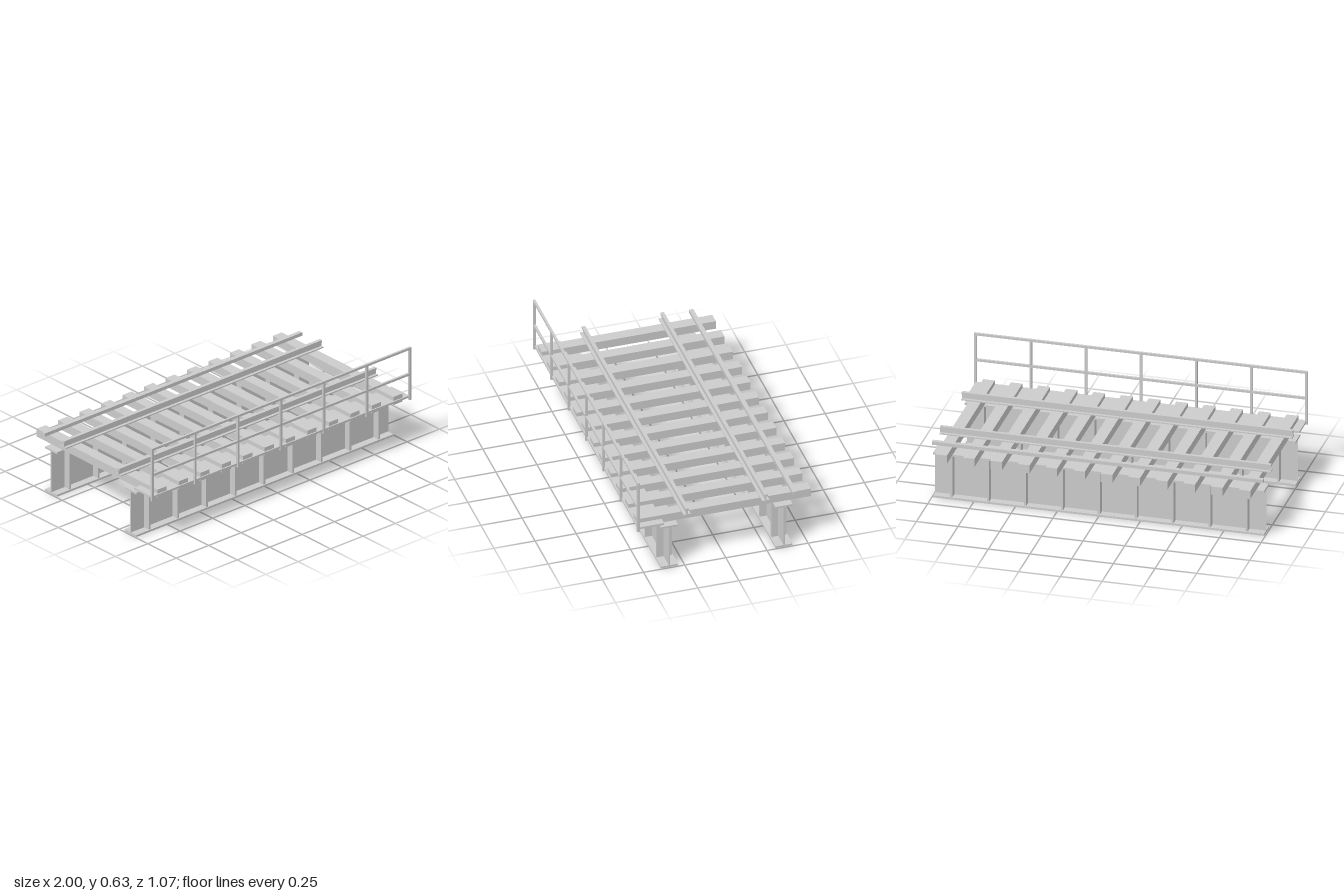
import * as THREE from 'three';

export function createModel() {
  const model = new THREE.Group();
  model.name = 'railwayBridgeSection';
  const steel = new THREE.MeshStandardMaterial({ color: 0xcccccc });
  steel.name = 'light grey';

  // Box given by its limits along each axis
  function box(parent, name, [x0, x1], [y0, y1], [z0, z1]) {
    const mesh = new THREE.Mesh(new THREE.BoxGeometry(x1 - x0, y1 - y0, z1 - z0), steel);
    mesh.position.set((x0 + x1) / 2, (y0 + y1) / 2, (z0 + z1) / 2);
    mesh.name = name;
    parent.add(mesh);
  }
  function group(name) {
    const g = new THREE.Group();
    g.name = name;
    model.add(g);
    return g;
  }
  const around = (c, half) => [c - half, c + half];
  const span = [-0.993, 0.993];

  // Two I-girders with web stiffeners on both sides
  for (const [name, z] of [['frontGirder', 0.34], ['backGirder', -0.356]]) {
    const girder = group(name);
    box(girder, 'bottomFlange', span, [0, 0.012], around(z, 0.052));
    box(girder, 'topFlange', span, [0.275, 0.287], around(z, 0.052));
    box(girder, 'web', span, [0.012, 0.275], around(z, 0.004));
    for (let i = 0; i < 9; i++) {
      const x = -0.885 + i * 0.2213;
      for (const side of [-1, 1]) {
        box(girder, 'stiffener', around(x, 0.0065), [0.012, 0.275], around(z + side * 0.025, 0.021));
      }
    }
  }

  // Cross ties
  const ties = group('ties');
  for (let i = 0; i < 12; i++) {
    box(ties, 'tie', around(-0.91 + i * 0.1655, 0.035), [0.287, 0.339], [-0.535, 0.522]);
  }

  // Running rails: foot, web and head
  for (const [name, z] of [['frontRail', 0.232], ['backRail', -0.246]]) {
    const rail = group(name);
    box(rail, 'railFoot', span, [0.339, 0.346], around(z, 0.0215));
    box(rail, 'railWeb', span, [0.346, 0.373], around(z, 0.004));
    box(rail, 'railHead', span, [0.372, 0.385], around(z, 0.0105));
  }

  // Guard beam behind the back rail
  box(model, 'guardBeam', span, [0.349, 0.37], [-0.435, -0.409]);

  // Walkway plate set between the ties
  box(model, 'walkway', span, [0.301, 0.313], [0.373, 0.53]);

  // Handrail along the front
  const handrail = group('handrail');
  for (let i = 0; i < 7; i++) {
    box(handrail, 'post', around(-0.993 + i * 0.331, 0.007), [0.287, 0.62], [0.523, 0.537]);
  }
  for (const y of [0.619, 0.454]) {
    box(handrail, 'handrailBar', [-1, 1], around(y, 0.007), [0.523, 0.537]);
  }
  return model;
}
